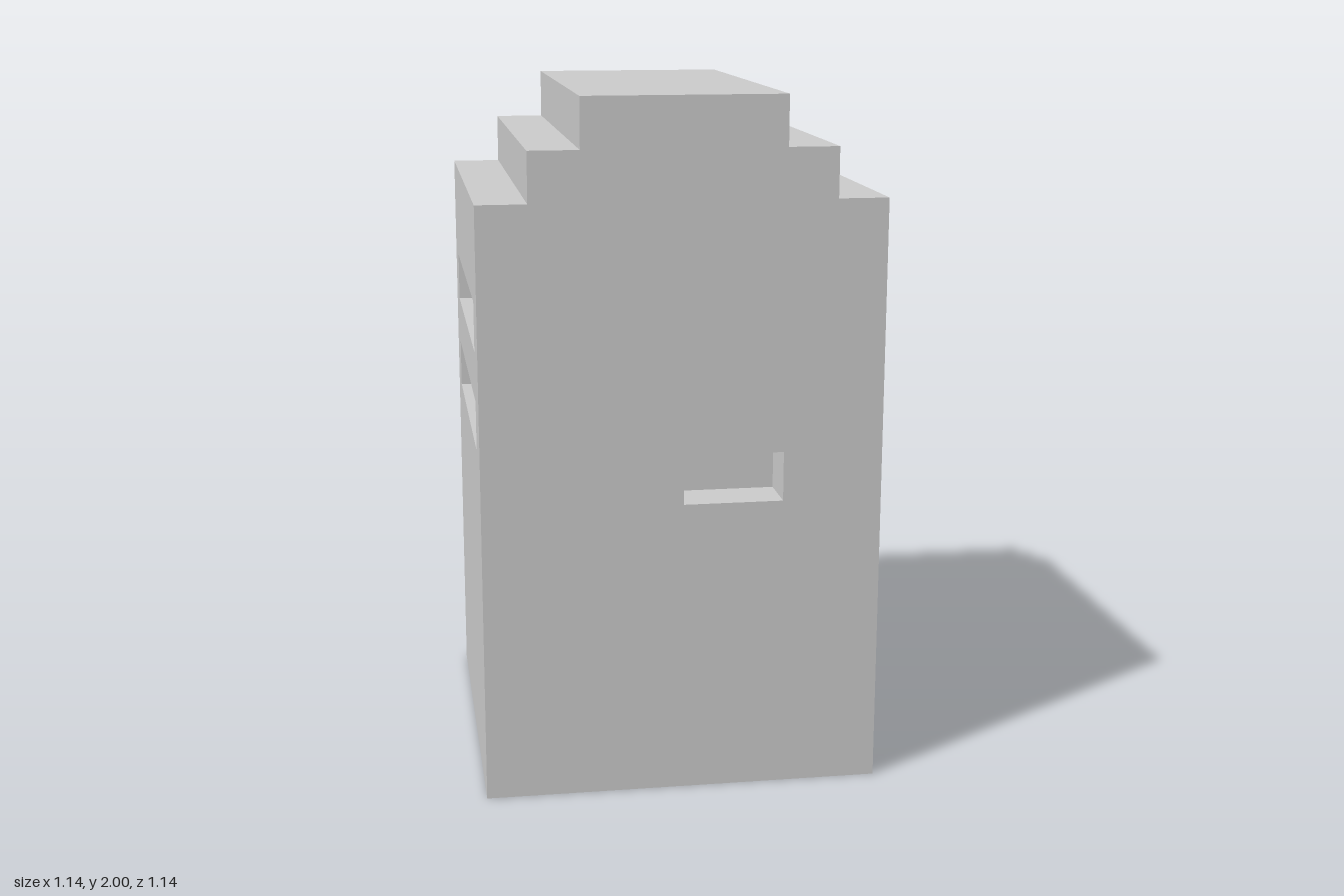
import * as THREE from 'three';
import { mergeGeometries } from 'three/addons/utils/BufferGeometryUtils.js';

const U = 1 / 7; // module size: the tower is 8 x 14 x 8 modules
const material = new THREE.MeshStandardMaterial({ color: 0xcccccc, flatShading: true });

// Counter-clockwise outlines, in modules
const stepped = [[-4, 0], [4, 0], [4, 12], [3, 12], [3, 13], [2, 13], [2, 14],
  [-2, 14], [-2, 13], [-3, 13], [-3, 12], [-4, 12]];
const plain = [[-4, 0], [4, 0], [4, 12], [-4, 12]];

// Slots as [x0, y0, x1, y1], seen facing the wall
const pairOfSlots = [[-3, 7, 3, 8], [-3, 9, 3, 10]];
const frontSlot = [[0, 6, 2, 7]];

const vectors = (points) => points.map(([x, y]) => new THREE.Vector2(x, y));

// Inward-facing recess, one module deep and open towards +z
function recess([x0, y0, x1, y1]) {
  const box = new THREE.BoxGeometry(x1 - x0, y1 - y0, 1);
  const index = Array.from(box.index.array);
  index.splice(24, 6); // drop the outer face
  box.setIndex(index.reverse());
  const geometry = box.toNonIndexed();
  geometry.computeVertexNormals();
  return geometry.translate((x0 + x1) / 2, (y0 + y1) / 2, 3.5);
}

// Wall with openings and their recesses, turned to its side of the tower
function wall(name, outline, slots, turn) {
  const shape = new THREE.Shape(vectors(outline));
  for (const [x0, y0, x1, y1] of slots) {
    shape.holes.push(new THREE.Path(vectors([[x0, y0], [x0, y1], [x1, y1], [x1, y0]])));
  }
  const face = new THREE.ShapeGeometry(shape).toNonIndexed().translate(0, 0, 4);
  const geometry = mergeGeometries([face, ...slots.map(recess)]);
  geometry.rotateY(turn).scale(U, U, U);
  const mesh = new THREE.Mesh(geometry, material);
  mesh.name = name;
  return mesh;
}

// Flat strip running front to back along one edge of the stepped outline
function strip(name, [ax, ay], [bx, by]) {
  const corners = [ax, ay, 4, ax, ay, -4, bx, by, -4, bx, by, 4];
  const geometry = new THREE.BufferGeometry();
  geometry.setAttribute('position', new THREE.Float32BufferAttribute(corners, 3));
  geometry.setIndex([0, 1, 2, 0, 2, 3]);
  geometry.computeVertexNormals();
  geometry.scale(U, U, U);
  const mesh = new THREE.Mesh(geometry, material);
  mesh.name = name;
  return mesh;
}

export function createModel() {
  const tower = new THREE.Group();
  tower.name = 'steppedTower';

  tower.add(
    wall('frontWall', stepped, frontSlot, 0),
    wall('leftWall', plain, pairOfSlots, Math.PI / 2),
    wall('backWall', stepped, pairOfSlots, Math.PI),
    wall('rightWall', plain, pairOfSlots, -Math.PI / 2),
  );

  // Base and roof steps; the tall outer edges belong to the side walls
  const roof = new THREE.Group();
  roof.name = 'steppedRoof';
  stepped.forEach((a, i) => {
    const b = stepped[(i + 1) % stepped.length];
    if (a[0] === b[0] && Math.abs(a[0]) === 4) return;
    if (i === 0) tower.add(strip('base', a, b));
    else roof.add(strip(a[0] === b[0] ? 'roofRiser' : 'roofTread', a, b));
  });
  tower.add(roof);
  return tower;
}
